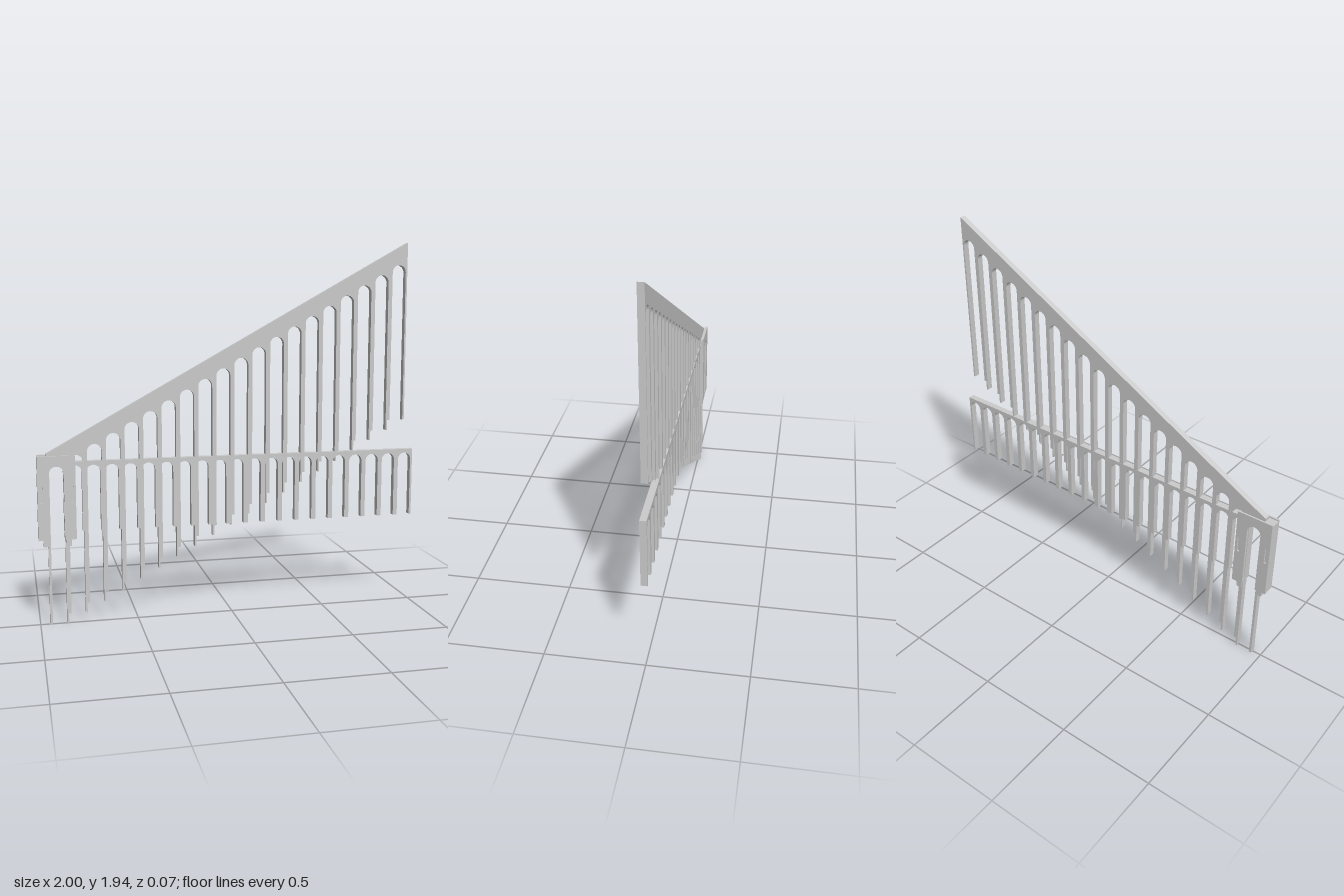
import * as THREE from 'three';

const material = new THREE.MeshStandardMaterial({ color: 0xcccccc, flatShading: true });

function extrudeAt(shape, name, z0, z1) {
  const geometry = new THREE.ExtrudeGeometry(shape, { depth: z1 - z0, bevelEnabled: false, curveSegments: 12 });
  geometry.translate(0, 0, z0);
  const mesh = new THREE.Mesh(geometry, material);
  mesh.name = name;
  return mesh;
}

// Row of round arches; each bay rises by "rise", so shared pillars get stepped feet
function arcade({ name, left, right, bays, foot, rise, archTop, topLeft, topRight, legL, legR, halfDepth }) {
  const pitch = (right - left) / bays;
  const radius = (pitch - legL - legR) / 2;
  const shape = new THREE.Shape();
  shape.moveTo(left, foot);
  for (let i = 0; i < bays; i++) {
    const x0 = left + i * pitch, x1 = x0 + pitch;
    const base = foot + i * rise;
    const spring = archTop + i * rise - radius;
    if (i > 0 && rise) shape.lineTo(x0, base);
    shape.lineTo(x0 + legL, base);
    shape.lineTo(x0 + legL, spring);
    shape.absarc(x0 + legL + radius, spring, radius, Math.PI, 0, true);
    shape.lineTo(x1 - legR, base);
    if (i === bays - 1 || rise) shape.lineTo(x1, base);
  }
  shape.lineTo(right, topRight);
  shape.lineTo(left, topLeft);
  shape.closePath();
  return extrudeAt(shape, name, -halfDepth, halfDepth);
}

// Gate outline: two pylons joined over one arch
function gateShape(x0, x1, openL, openR, foot, top, archTop) {
  const r = (openR - openL) / 2;
  const s = new THREE.Shape();
  s.moveTo(x0, foot);
  s.lineTo(openL, foot);
  s.lineTo(openL, archTop - r);
  s.absarc(openL + r, archTop - r, r, Math.PI, 0, true);
  s.lineTo(openR, foot);
  s.lineTo(x1, foot);
  s.lineTo(x1, top);
  s.lineTo(x0, top);
  s.closePath();
  return s;
}

function slot(x0, x1, y0, y1) {
  const p = new THREE.Path();
  p.moveTo(x0, y0);
  p.lineTo(x0, y1);
  p.lineTo(x1, y1);
  p.lineTo(x1, y0);
  p.closePath();
  return p;
}

function createGate() {
  const gate = new THREE.Group();
  gate.name = 'gateTower';
  const openL = -0.942, openR = -0.868;
  gate.add(extrudeAt(gateShape(-1, -0.81, openL, openR, 0.445, 0.866, 0.82), 'gateCore', -0.024, 0.024));

  // Slotted facing plates, front and back
  for (const [name, z0, z1] of [['frontFacing', 0.024, 0.033], ['backFacing', -0.033, -0.024]]) {
    const plate = gateShape(-1, -0.81, openL, openR, 0.445, 0.873, 0.82);
    plate.holes.push(slot(-0.988, -0.975, 0.635, 0.72), slot(-0.835, -0.822, 0.635, 0.72));
    gate.add(extrudeAt(plate, name, z0, z1));
  }

  // Tenons below the pylons
  for (const x of [-0.961, -0.849]) {
    const tenon = new THREE.Mesh(new THREE.BoxGeometry(0.028, 0.04, 0.05), material);
    tenon.name = 'tenon';
    tenon.position.set(x, 0.43, 0);
    gate.add(tenon);
  }
  return gate;
}

export function createModel() {
  const model = new THREE.Group();
  model.name = 'arcades';
  model.add(arcade({
    name: 'slopedArcade', left: -0.952, right: 0.947, bays: 20, foot: 0, rise: 1 / 19,
    archTop: 0.82, topLeft: 0.882, topRight: 1.936, legL: 0.013, legR: 0.009, halfDepth: 0.016,
  }));
  model.add(arcade({
    name: 'levelArcade', left: -0.952, right: 1, bays: 21, foot: 0.48, rise: 0,
    archTop: 0.82, topLeft: 0.84, topRight: 0.84, legL: 0.012, legR: 0.011, halfDepth: 0.0165,
  }));
  model.add(createGate());
  return model;
}
